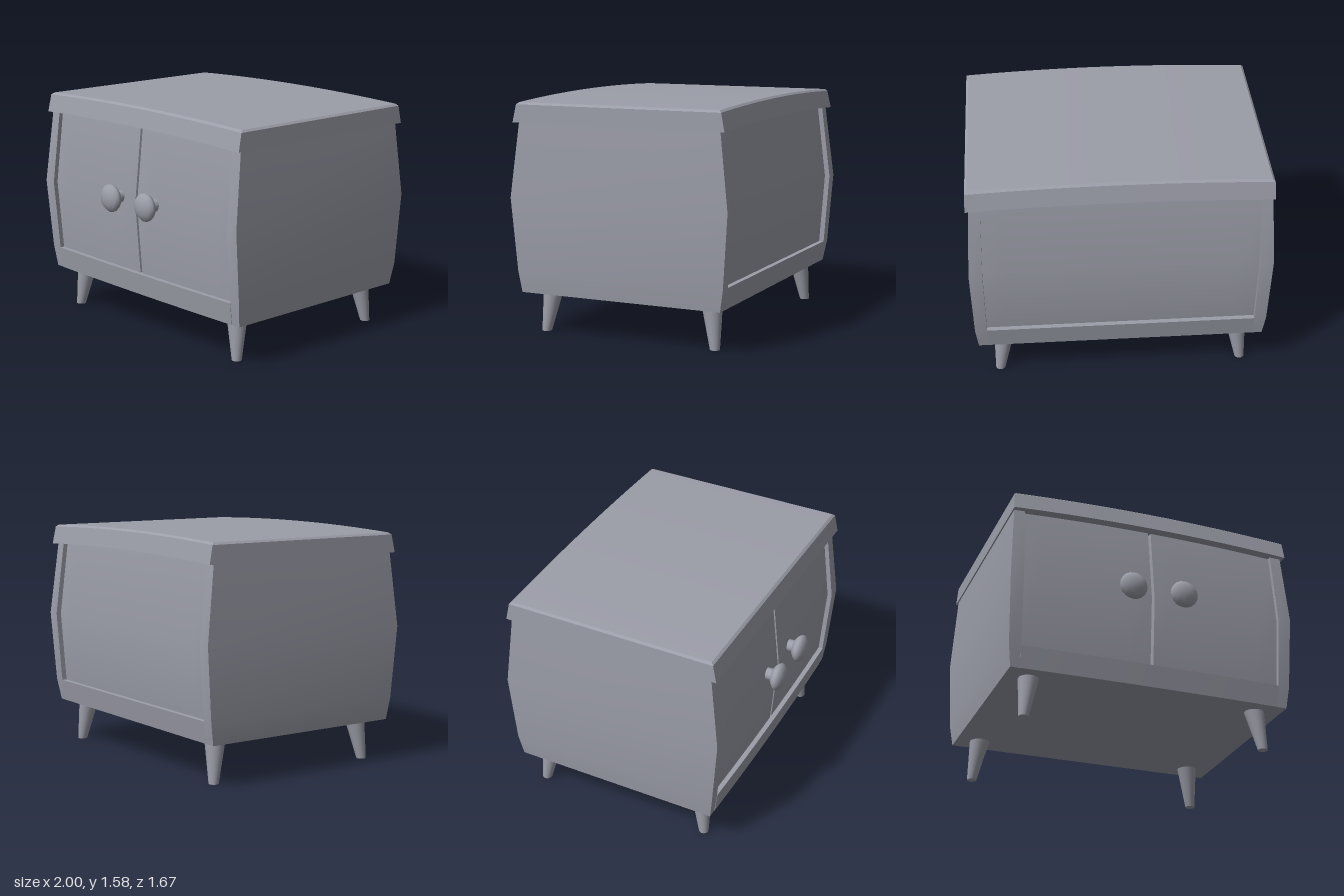
import * as THREE from 'three';
import { toCreasedNormals } from 'three/addons/utils/BufferGeometryUtils.js';

const material = new THREE.MeshStandardMaterial({ color: 0x9b9da8 });

// Body side profile: [y, half width, front z, back z, inner edge of the corner post]
const PROFILE = [
  [0.28, 0.967, 0.67, -0.77, 0.9],
  [0.43, 0.985, 0.69, -0.797, 0.905],
  [0.92, 1.0, 0.73, -0.832, 0.911],
  [1.43, 0.975, 0.67, -0.77, 0.9],
];

// Solid stacked from levels [y, x0, x1, front z, back z]; bulge pushes the front
// out at the centre, arch lifts it, skew shifts the back sideways
function slab(levels, { bulge = 0, arch = 0, skew = 0, n = 12 } = {}) {
  const pos = [], index = [];
  const ring = 2 * (n + 1);
  for (const [y, x0, x1, zf, zb] of levels) {
    for (let i = 0; i < ring; i++) {
      const front = i <= n;
      const t = (front ? i : ring - 1 - i) / n;
      const x = x0 + (x1 - x0) * t;
      const k = Math.max(0, 1 - x * x);
      pos.push(front ? x : x + skew, y + arch * k, front ? zf + bulge * k : zb);
    }
  }
  const quad = (a, b, c, d) => index.push(a, b, c, a, c, d);
  for (let l = 0; l < levels.length - 1; l++) {
    for (let i = 0; i < ring; i++) {
      const a = l * ring + i, b = l * ring + (i + 1) % ring;
      quad(a, b, b + ring, a + ring);
    }
  }
  const top = (levels.length - 1) * ring;
  for (let i = 0; i < n; i++) {
    const j = ring - 1 - i;
    quad(top + i, top + i + 1, top + j - 1, top + j);
    quad(j, j - 1, i + 1, i);
  }
  const geo = new THREE.BufferGeometry();
  geo.setAttribute('position', new THREE.Float32BufferAttribute(pos, 3));
  geo.setIndex(index);
  return toCreasedNormals(geo, 0.3);
}

export function createModel() {
  const group = new THREE.Group();
  const add = (name, geo) => {
    const mesh = new THREE.Mesh(geo, material);
    mesh.name = name;
    group.add(mesh);
    return mesh;
  };
  const span = (s, a, b) => (s > 0 ? [a, b] : [-b, -a]);

  // Inner carcass, its back face is the recessed back panel
  add('carcass', slab(PROFILE.map(([y, , zf, zb], i) =>
    [i === 3 ? 1.45 : y + (i === 0 ? 0.01 : 0), -0.92, 0.92, zf - 0.07, zb + 0.035])));

  // Bottom rail between the corner posts, bowed at the front
  add('bottomRail', slab(PROFILE.slice(0, 2).map(([y, , zf, zb, inner]) =>
    [y, -inner, inner, zf, zb]), { bulge: 0.015 }));

  for (const s of [-1, 1]) {
    const side = s > 0 ? 'left' : 'right';

    // Side panels, their edges form the corner posts
    add(side + 'SidePanel', slab(PROFILE.map(([y, hx, zf, zb, inner]) =>
      [y, ...span(s, inner, hx), zf, zb]), { n: 1 }));

    // Recessed doors, their slanted inner edges meet in a narrow groove
    add(side + 'Door', slab(PROFILE.slice(1).map(([y, , zf], i) => {
      const [x0, x1] = span(s, 0.01, 0.925);
      return [i === 2 ? 1.46 : y - (i === 0 ? 0.02 : 0),
        s > 0 ? x0 - 0.005 : x0, s > 0 ? x1 : x1 - 0.005, zf - 0.035, zf - 0.075];
    }), { bulge: 0.015, skew: -0.0095 * s, n: 6 }));

    // Turned knob on a short stem
    const knob = new THREE.LatheGeometry([
      [0, -0.02], [0.042, -0.02], [0.042, 0.056], [0.062, 0.06], [0.084, 0.078],
      [0.095, 0.095], [0.095, 0.109], [0.078, 0.128], [0.045, 0.141], [0, 0.147],
    ].map(p => new THREE.Vector2(...p)), 20);
    const k = add(side + 'Knob', toCreasedNormals(knob, 0.8));
    k.rotation.x = Math.PI / 2;
    k.position.set(s * 0.18 + 0.005, 0.942, 0.69);

    // Tapered splayed legs: the foot leans towards the corner
    for (const f of [-1, 1]) {
      const leg = new THREE.CylinderGeometry(0.07, 0.033, 0.29, 20);
      const p = leg.attributes.position;
      for (let i = 0; i < p.count; i++) {
        const lean = 0.037 * (0.5 - p.getY(i) / 0.29);
        p.setX(i, p.getX(i) + s * lean);
        p.setZ(i, p.getZ(i) + f * lean);
      }
      add(side + (f > 0 ? 'FrontLeg' : 'BackLeg'), toCreasedNormals(leg, 0.7))
        .position.set(s * 0.797 - 0.004, 0.145, f * 0.583 - 0.057);
    }
  }

  // Arched lid with a chamfered top edge
  add('lid', slab([
    [1.42, -0.985, 0.996, 0.708, -0.807],
    [1.54, -0.979, 0.992, 0.682, -0.782],
    [1.553, -0.964, 0.976, 0.665, -0.767],
  ], { bulge: 0.012, arch: 0.025, n: 16 }));

  return group;
}
